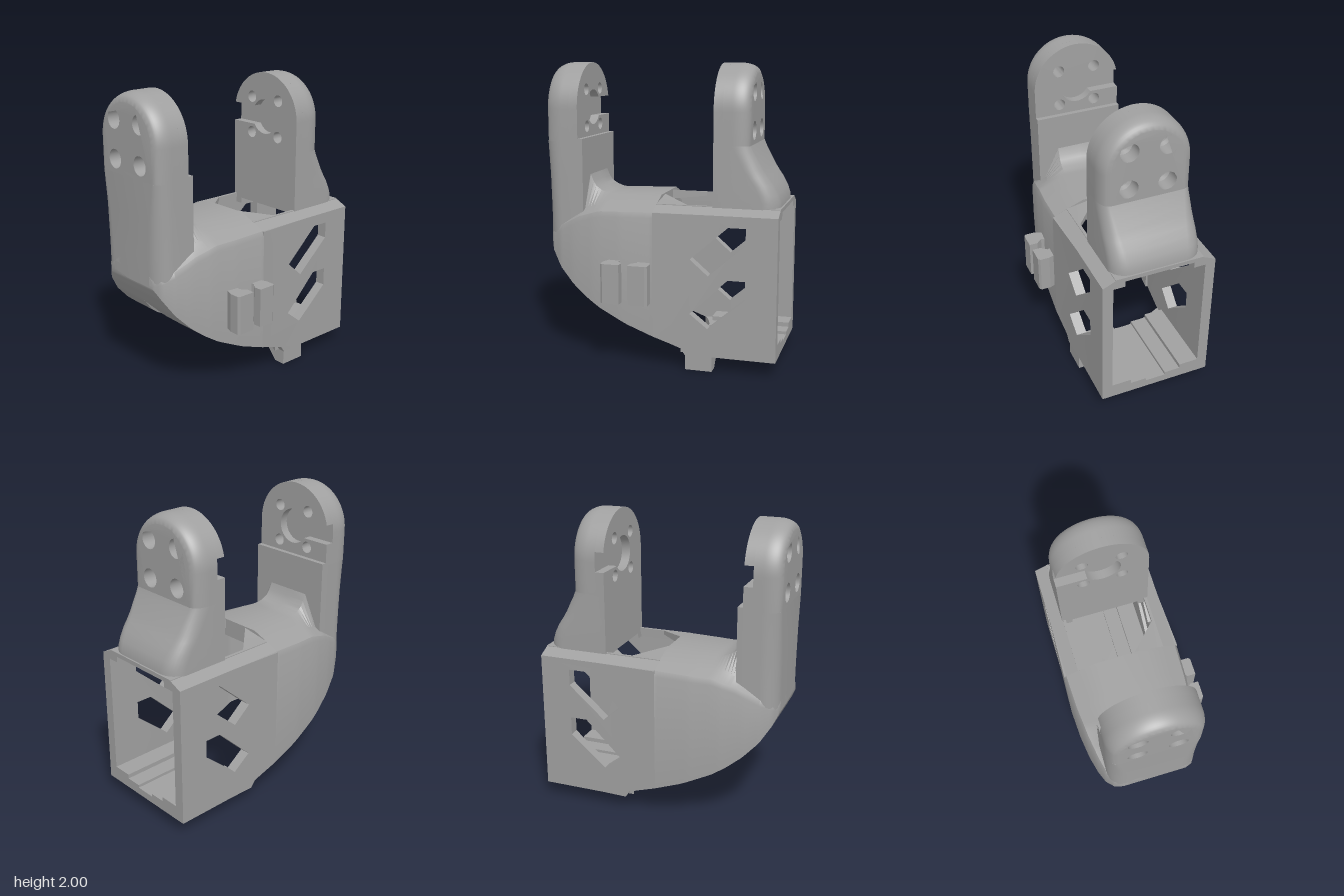
import * as THREE from 'three';
import { toCreasedNormals } from 'three/addons/utils/BufferGeometryUtils.js';

const H = 0.305;      // half width of an arm
const CY = 1.695;     // centre height of the arm heads
const D = 0.232;      // arm thickness
const SPLIT = 1.48;   // height where arm neck meets arm head
const HOLES = [[-0.1275, 1.57], [0.1275, 1.57], [-0.1275, 1.82], [0.1275, 1.82]];

export function createModel() {
  const group = new THREE.Group();
  const grey = new THREE.MeshStandardMaterial({ color: 0xa0a0a0 });
  grey.name = 'matte grey';

  const add = (name, geo, crease = 0.6) => {
    const mesh = new THREE.Mesh(toCreasedNormals(geo, crease), grey);
    mesh.name = name;
    group.add(mesh);
    return mesh;
  };
  const table = (rows, x) => {
    if (x <= rows[0][0]) return rows[0][1];
    for (let i = 1; i < rows.length; i++) {
      const [x0, y0] = rows[i - 1], [x1, y1] = rows[i];
      if (x <= x1) return y0 + (y1 - y0) * (x - x0) / (x1 - x0);
    }
    return rows[rows.length - 1][1];
  };
  const toShape = (pts, holes = []) => {
    const shape = new THREE.Shape(pts.map(p => new THREE.Vector2(...p)));
    holes.forEach(h => shape.holes.push(new THREE.Path(h.map(p => new THREE.Vector2(...p)))));
    return shape;
  };
  const extrude = (pts, depth, holes, steps = 1) =>
    new THREE.ExtrudeGeometry(toShape(pts, holes), { depth, steps, bevelEnabled: false });
  const circle = (x, y, r, n = 24) => Array.from({ length: n }, (_, i) =>
    [x + r * Math.cos(i / n * Math.PI * 2), y + r * Math.sin(i / n * Math.PI * 2)]);
  const move = (geo, rule) => {
    const p = geo.attributes.position, v = new THREE.Vector3();
    for (let i = 0; i < p.count; i++) {
      rule(v.fromBufferAttribute(p, i));
      p.setXYZ(i, v.x, v.y, v.z);
    }
    return geo;
  };
  // (z, y) section swept along x
  const prism = (pts, x0, x1) =>
    extrude(pts.map(([z, y]) => [-z, y]), x1 - x0).rotateY(Math.PI / 2).translate(x0, 0, 0);
  // (x, z) plan swept along y
  const slab = (pts, y0, y1, holes = []) =>
    extrude(pts.map(([x, z]) => [x, -z]), y1 - y0, holes.map(h => h.map(([x, z]) => [x, -z])))
      .rotateX(-Math.PI / 2).translate(0, y0, 0);
  // Closed rings joined in order; end caps pair point i with n-1-i
  const loft = rings => {
    const n = rings[0].length, last = (rings.length - 1) * n, idx = [];
    const quad = (a, b, c, d) => idx.push(a, b, c, a, c, d);
    for (let k = 0; k < rings.length - 1; k++) for (let i = 0; i < n; i++) {
      const j = (i + 1) % n, a = k * n, b = a + n;
      quad(a + i, a + j, b + j, b + i);
    }
    for (let i = 0; i < n / 2 - 1; i++) {
      quad(i + 1, i, n - 1 - i, n - 2 - i);
      quad(last + i, last + i + 1, last + n - 2 - i, last + n - 1 - i);
    }
    const pts = rings.flat().map(p => new THREE.Vector3(...p));
    let volume = 0;
    for (let i = 0; i < idx.length; i += 3)
      volume += pts[idx[i]].dot(pts[idx[i + 1]].clone().cross(pts[idx[i + 2]]));
    if (volume < 0) idx.reverse();
    const geo = new THREE.BufferGeometry().setFromPoints(pts);
    geo.setIndex(idx);
    return geo;
  };

  // Curved hollow body, open underneath, closing to a V inside the tip
  const bottom = [[-0.8, 0.8], [-0.77, 0.73], [-0.7, 0.62], [-0.6, 0.515], [-0.5, 0.435], [-0.4, 0.37], [-0.2, 0.275], [-0.02, 0.21]];
  const half = [[-0.8, 0.22], [-0.77, 0.275], [-0.7, 0.317], [-0.6, 0.345], [-0.45, 0.372], [-0.25, 0.392], [-0.02, 0.4]];
  const shoulder = [[-0.8, 0.82], [-0.55, 0.95], [-0.4, 0.995], [-0.02, 1.01]];
  const crown = [[-0.8, 0.94], [-0.6, 1.1], [-0.54, 1.27], [-0.52, 1.21], [-0.49, 1.165], [-0.45, 1.14], [-0.4, 1.122], [-0.02, 1.13]];
  const cavity = [[-0.7, 0], [-0.27, 0.315]];
  const rings = [];
  for (let k = 0; k <= 40; k++) {
    const x = -0.8 + 0.78 * (k / 40) ** 1.25;
    const yb = table(bottom, x), w = table(half, x), s = table(shoulder, x), yt = table(crown, x);
    const wi = table(cavity, x), it = Math.min(1.03, s);
    const outer = [[w, yb], [w, s], [0.96 * w, s + 0.035], [0.75 * w, s + 0.075], [0.45 * w, yt], [0, yt]];
    const inner = [[wi, yb], [wi, (yb + it) / 2], [wi, it], [0.75 * wi, it], [0.45 * wi, it], [0, it]];
    const full = h => [...h, ...h.slice(0, -1).reverse().map(([z, y]) => [-z, y])];
    rings.push([...full(outer), ...full(inner).reverse()].map(([z, y]) => [x, y, z]));
  }
  add('curvedBody', loft(rings));

  // Side panels with slanted windows
  const panel = [[-0.02, 0.21], [0.1, 0.17], [0.17, 0.145], [0.2, 0.1], [0.37, 0.1], [0.8, 0.1], [0.8, 1.045], [0.37, 1.045], [-0.02, 1.045]];
  const windows = [
    [[0.23, 0.385], [0.48, 0.625], [0.595, 0.625], [0.595, 0.5], [0.35, 0.29]],
    [[0.23, 0.75], [0.48, 0.97], [0.595, 0.97], [0.595, 0.86], [0.35, 0.645]],
  ];
  for (const side of [1, -1]) {
    const geo = extrude(panel, 0.07, windows).translate(0, 0, side > 0 ? 0.315 : -0.385);
    move(geo, v => { v.z += side * 0.015 * Math.max(0, (0.37 - v.x) / 0.39); });
    add(side > 0 ? 'frontPanel' : 'backPanel', geo, 0.3);
    // Chamfered roof edge and ceiling rail
    add('roofEdge', prism([[0.385, 1.02], [0.385, 1.045], [0.29, 1.088], [0.29, 1.02]].map(([z, y]) => [side * z, y]), -0.02, 0.8), 0.3);
    add('ceilingRail', prism([[0.29, 1.02], [0.29, 1.06], [0.235, 1.06], [0.235, 1.02]].map(([z, y]) => [side * z, y]), 0.36, 0.8), 0.3);
    // Stepped floor rails
    add('floorRail', prism([[0.315, 0.15], [0.315, 0.2], [0.18, 0.2], [0.18, 0.17], [0.07, 0.17], [0.07, 0.15]].map(([z, y]) => [side * z, y]), 0.25, 0.8), 0.3);
  }

  // Roof plate with access hole
  const access = [[-0.019, -0.095], [-0.019, 0.095], [0.18, 0.28], [0.36, 0.28], [0.36, -0.28], [0.18, -0.28]];
  const roof = slab([[-0.02, -0.3], [0.8, -0.3], [0.8, 0.3], [-0.02, 0.3]], 1.06, 1.088, [access]);
  move(roof, v => { if (v.x < 0 && Math.abs(v.z) < 0.2 && v.y > 1.07) v.y += 0.035; });
  add('roof', roof, 0.3);

  // Floor plate with a concave inner edge and two screw holes
  const arc = Array.from({ length: 17 }, (_, i) => {
    const z = 0.34 * (1 - i / 8);
    return [0.255 - 0.075 * (z / 0.3) ** 2, z];
  });
  add('floor', slab([...arc, [0.8, -0.34], [0.8, 0.34]], 0.1, 0.15,
    [circle(0.68, 0.26, 0.03, 16), circle(0.68, -0.26, 0.03, 16)]), 0.3);

  // Wedge foot
  add('foot', prism([[0.385, 0], [0.305, 0], [0.215, 0.1], [0.215, 0.11], [0.385, 0.11]], 0.2, 0.38), 0.3);

  // Pair of cable clips on the front
  const clip = [[-0.32, 0.37], [-0.345, 0.435], [-0.345, 0.5], [-0.33, 0.513], [-0.215, 0.513], [-0.215, 0.455], [-0.25, 0.415], [-0.24, 0.37]];
  add('clip', slab(clip, 0.445, 0.71), 0.3);
  add('clip', slab(clip.map(([x, z]) => [-0.37 - x, z]).reverse(), 0.445, 0.71), 0.3);

  // Arm heads: recessed inner layer plus rounded, countersunk outer layer
  const LAYER = 0.06, R = 0.11, EDGE = 0.06;
  const inset = (t, e) => e * (1 - Math.sqrt(Math.max(0, 1 - (Math.max(0, t - D + R) / R) ** 2)));
  const arcPts = (r, a0, a1, n) => Array.from({ length: n + 1 }, (_, i) => {
    const a = a0 + (a1 - a0) * i / n;
    return [r * Math.cos(a), CY + r * Math.sin(a)];
  });
  const place = (geo, dir) => geo.rotateY(dir * Math.PI / 2).translate(dir > 0 ? 0.36 : -0.568, 0, 0);
  const makeHead = (dir, name) => {
    const bores = HOLES.map(([a, y]) => circle(a, y, 0.04));
    const recessed = [[-H, SPLIT], [H, SPLIT], [H, CY - 0.065],
      ...arcPts(0.12, -0.573, -2 * Math.PI + 0.573, 24), ...arcPts(H, 0.215, Math.PI, 32)];
    const innerGeo = extrude(recessed.map(([a, y]) => [dir * a, y]), LAYER, bores);
    add(name + 'HornRecess', place(innerGeo, dir));

    const outline = [[-H, SPLIT], [H, SPLIT], ...arcPts(H, 0, Math.PI, 40)];
    const outerGeo = extrude(outline, D - LAYER, bores, 16).translate(0, 0, LAYER);
    move(outerGeo, v => {
      const bore = HOLES.find(([a, y]) => Math.hypot(v.x - a, v.y - y) < 0.05);
      if (bore) {
        // Countersink near the outer face
        const k = v.z > D - 0.1 ? 1.55 : 1;
        v.x = bore[0] + (v.x - bore[0]) * k;
        v.y = bore[1] + (v.y - bore[1]) * k;
      } else {
        const k = 1 - inset(v.z, EDGE) / H;
        v.x *= k;
        if (v.y > CY) v.y = CY + (v.y - CY) * k;
      }
    });
    add(name + 'Head', place(outerGeo, dir));
  };
  makeHead(1, 'leftArm');
  makeHead(-1, 'rightArm');

  // Arm necks: D-shaped sections stacked upward
  const neckRing = (y, x0, dir, depth, e) => {
    const side = [[0, H]];
    for (let i = 0; i <= 8; i++) {
      const a = i / 8 * Math.PI / 2;
      side.push([depth - R + R * Math.sin(a), H - e * (1 - Math.cos(a))]);
    }
    return [...side, ...side.slice().reverse().map(([d, z]) => [d, -z])].map(([d, z]) => [x0 + dir * d, y, z]);
  };
  add('rightArmNeck', loft([[0.8, 0.12], [1.0, 0.12], [1.25, 0.1], [SPLIT, EDGE]]
    .map(([y, e]) => neckRing(y, -0.568, -1, D, e))));
  const flare = [[1.07, 0.43], [1.12, 0.428], [1.17, 0.41], [1.23, 0.378], [1.28, 0.342], [1.33, 0.31], [1.39, 0.278], [1.44, 0.25], [SPLIT, D]];
  add('leftArmNeck', loft(flare.map(([y, d]) => neckRing(y, 0.36, 1, d, EDGE + (SPLIT - y) * 0.15))));

  // Raised pad on the inner face of the right arm
  add('rightArmPad', new THREE.BoxGeometry(0.04, 0.54, 2 * H).translate(-0.555, 1.23, 0));

  group.position.z = -0.055;
  const model = new THREE.Group();
  model.name = 'servoBracket';
  model.add(group);
  return model;
}
